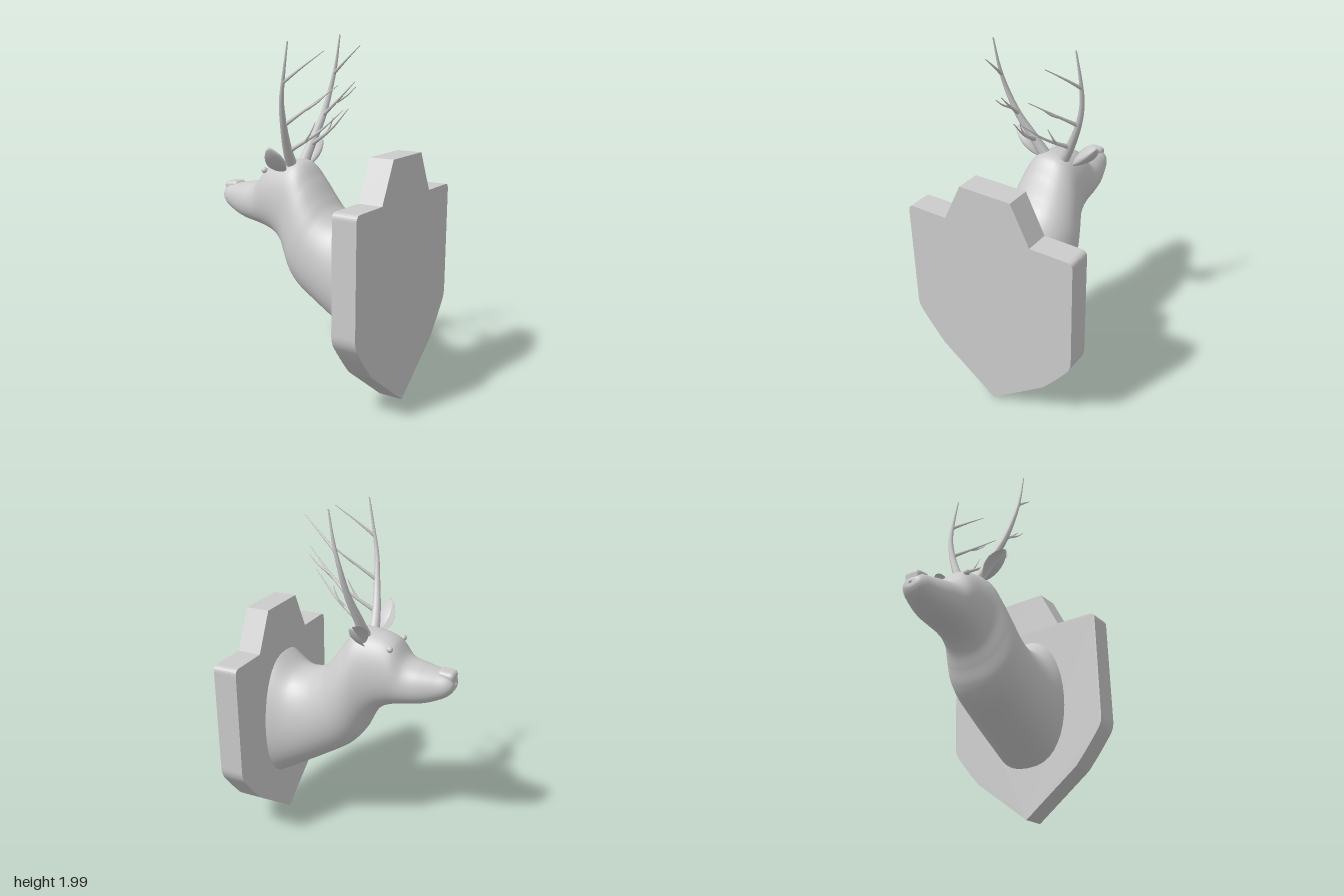
import * as THREE from 'three';
import { ParametricGeometry } from 'three/addons/geometries/ParametricGeometry.js';
import { RoundedBoxGeometry } from 'three/addons/geometries/RoundedBoxGeometry.js';

const MID = 0.02; // z of the head's plane of symmetry
const material = new THREE.MeshStandardMaterial({ color: 0xcccccc, side: THREE.DoubleSide });

function addMesh(parent, name, geometry) {
  const mesh = new THREE.Mesh(geometry, material);
  mesh.name = name;
  parent.add(mesh);
  return mesh;
}

// Shield outline, extruded towards the wall (+x)
function plaqueGeometry() {
  const s = new THREE.Shape();
  s.moveTo(0, 0.005);
  s.lineTo(0.34, 0.26);
  s.quadraticCurveTo(0.42, 0.35, 0.49, 0.445);
  s.quadraticCurveTo(0.515, 0.48, 0.515, 0.52);
  s.lineTo(0.515, 1.12);
  s.quadraticCurveTo(0.515, 1.155, 0.48, 1.155);
  s.lineTo(0.265, 1.155);
  s.lineTo(0.155, 1.38);
  s.lineTo(-0.155, 1.38);
  s.lineTo(-0.265, 1.155);
  s.lineTo(-0.48, 1.155);
  s.quadraticCurveTo(-0.515, 1.155, -0.515, 1.12);
  s.lineTo(-0.515, 0.52);
  s.quadraticCurveTo(-0.515, 0.48, -0.49, 0.445);
  s.quadraticCurveTo(-0.42, 0.35, -0.34, 0.26);
  const g = new THREE.ExtrudeGeometry(s, { depth: 0.14, bevelEnabled: false, curveSegments: 6 });
  return g.rotateY(Math.PI / 2).translate(0.46, 0, 0);
}

// Head and neck lofted through slanted sections: top x, y, bottom x, y, half width
function headGeometry() {
  const sections = [
    [-0.6, 1.07, -0.6, 1.055, 0.01], [-0.595, 1.09, -0.597, 1.03, 0.05],
    [-0.57, 1.115, -0.57, 0.995, 0.077], [-0.5, 1.13, -0.5, 0.955, 0.103],
    [-0.42, 1.145, -0.42, 0.928, 0.127], [-0.33, 1.17, -0.32, 0.91, 0.142],
    [-0.25, 1.265, -0.25, 0.89, 0.154], [-0.14, 1.3, -0.19, 0.862, 0.165],
    [-0.03, 1.3, -0.14, 0.81, 0.18], [0.05, 1.21, -0.1, 0.74, 0.205],
    [0.12, 1.11, -0.06, 0.66, 0.225], [0.17, 1.05, 0.0, 0.59, 0.232],
    [0.25, 1.0, 0.15, 0.49, 0.238], [0.35, 1.0, 0.32, 0.385, 0.247],
    [0.46, 1.08, 0.46, 0.3, 0.263],
  ];
  const top = new THREE.CatmullRomCurve3(sections.map(([x, y, , , w]) => new THREE.Vector3(x, y, w)));
  const bottom = new THREE.CatmullRomCurve3(sections.map(([, , x, y, w]) => new THREE.Vector3(x, y, w)));
  return new ParametricGeometry((u, v, target) => {
    const a = u * Math.PI * 2, c = Math.cos(a), s = Math.sin(a);
    const t = top.getPoint(v), b = bottom.getPoint(v);
    const width = (t.z + b.z) / 2 * (1 - 0.05 * c);
    target.lerpVectors(b, t, (1 + c) / 2);
    target.z = MID + width * Math.sign(s) * Math.pow(Math.abs(s), 0.78);
  }, 40, 70);
}

// Leaf-shaped ear with a crescent section, hollow towards the face
function earGeometry(length) {
  return new ParametricGeometry((u, v, target) => {
    const a = u * Math.PI * 2, s = Math.sin(a);
    const w = Math.pow(Math.max(Math.sin(Math.PI * v), 0), 0.65);
    target.set(w * (0.016 * Math.cos(a) + 0.03 - 0.073 * s * s), length * v, -0.042 * w * s);
  }, 20, 16);
}

// Tube that narrows from r0 to r1 along a curve
function taperedTube(points, r0, r1, segments = 16, sides = 8) {
  const curve = new THREE.CatmullRomCurve3(points);
  const g = new THREE.TubeGeometry(curve, segments, 1, sides);
  const pos = g.attributes.position, p = new THREE.Vector3();
  for (let i = 0; i < pos.count; i++) {
    const t = Math.floor(i / (sides + 1)) / segments;
    const c = curve.getPointAt(t);
    p.fromBufferAttribute(pos, i).sub(c).multiplyScalar(r0 + (r1 - r0) * Math.pow(t, 0.7)).add(c);
    pos.setXYZ(i, p.x, p.y, p.z);
  }
  return g;
}

// Antler branches: points are x, y, distance from the middle
const BRANCHES = [
  { name: 'Beam', r: [0.036, 0.004], pts: [[-0.09, 1.26, 0.05], [-0.07, 1.38, 0.12], [-0.035, 1.53, 0.195],
    [-0.01, 1.67, 0.238], [0.02, 1.8, 0.253], [0.055, 1.98, 0.253]] },
  { name: 'UpperTine', r: [0.011, 0.002], pts: [[0.015, 1.77, 0.25], [0.12, 1.85, 0.218], [0.23, 1.93, 0.18]] },
  { name: 'MiddleTine', r: [0.013, 0.002], pts: [[-0.035, 1.53, 0.195], [0.1, 1.63, 0.145], [0.25, 1.745, 0.085]] },
  { name: 'MiddleFork', r: [0.009, 0.002], pts: [[0.09, 1.62, 0.15], [0.16, 1.66, 0.15], [0.22, 1.71, 0.143]] },
  { name: 'LowerTine', r: [0.015, 0.002], pts: [[-0.07, 1.37, 0.115], [0.1, 1.48, 0.07], [0.24, 1.605, 0.025]] },
  { name: 'LowerFork', r: [0.009, 0.002], pts: [[0.03, 1.43, 0.09], [0.07, 1.48, 0.096], [0.1, 1.54, 0.09]] },
];

export function createModel() {
  const model = new THREE.Group();
  model.name = 'mountedDeerHead';
  addMesh(model, 'plaque', plaqueGeometry());
  addMesh(model, 'headAndNeck', headGeometry());

  // Nose pad
  const nose = addMesh(model, 'nose', new RoundedBoxGeometry(0.1, 0.075, 0.098, 4, 0.025));
  nose.position.set(-0.548, 1.1, MID);
  nose.rotation.z = 0.1;

  // Antlers lean slightly to one side
  const antlers = new THREE.Group();
  antlers.name = 'antlers';
  antlers.position.set(0, 1.3, MID);
  antlers.rotation.x = 0.06;
  model.add(antlers);

  for (const side of [1, -1]) {
    const label = side > 0 ? 'near' : 'far';

    const eye = addMesh(model, label + 'Eye', new THREE.SphereGeometry(0.018, 16, 12));
    eye.position.set(-0.25, 1.24, MID + side * 0.1);

    const ear = addMesh(model, label + 'Ear', earGeometry(0.215));
    ear.position.set(-0.1, 1.25, MID + side * 0.11);
    ear.rotation.x = side * 0.8;

    for (const { name, r, pts } of BRANCHES) {
      const path = pts.map(([x, y, d]) => new THREE.Vector3(x, y - 1.3, side * d));
      addMesh(antlers, label + name, taperedTube(path, r[0], r[1]));
    }
  }
  return model;
}
